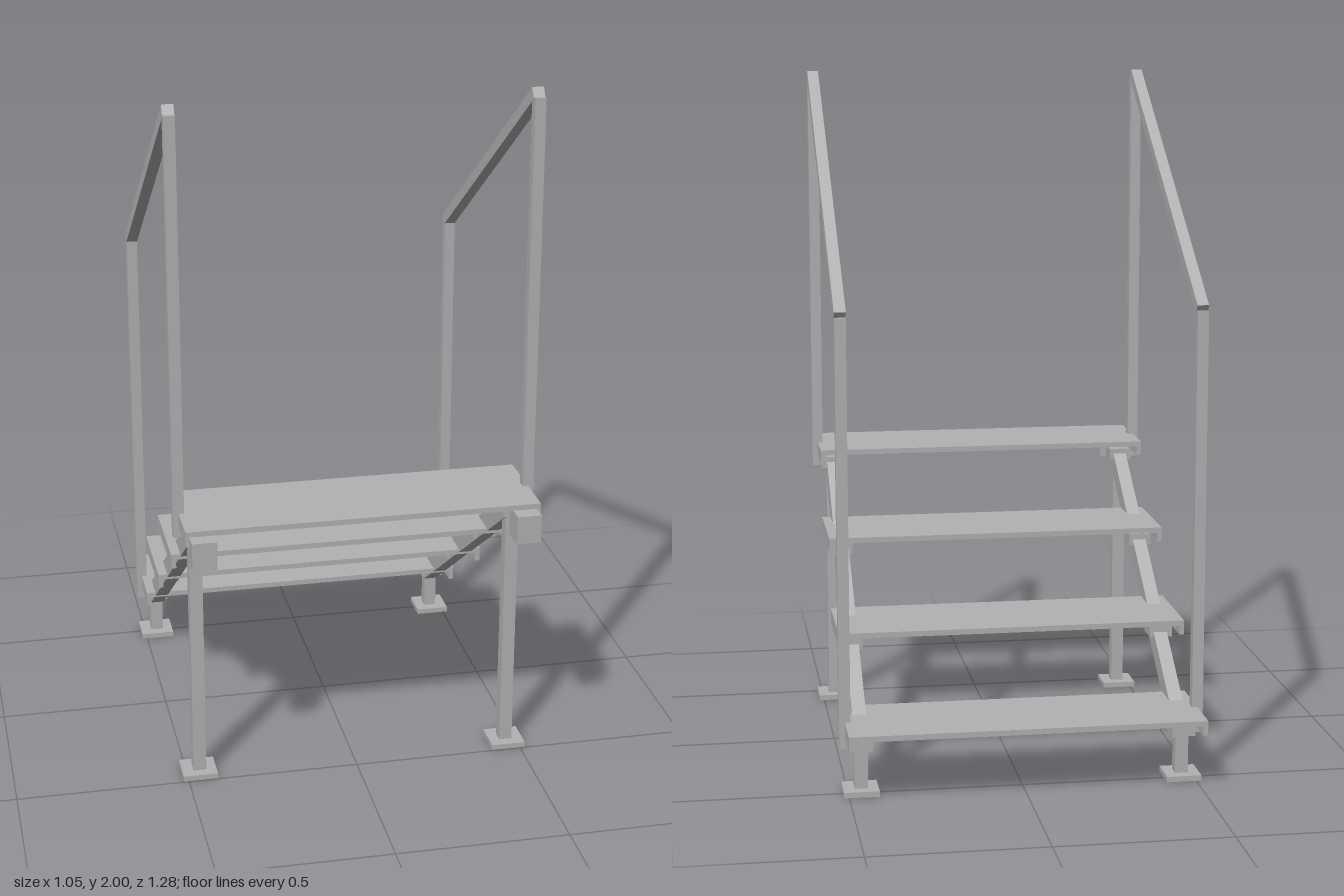
import * as THREE from 'three';

export function createModel() {
  const model = new THREE.Group();
  model.name = 'stairs';
  const steel = new THREE.MeshStandardMaterial({ color: 0xb2b2b2 });
  steel.name = 'grey steel';

  // Box given by its min/max extents on each axis
  const block = (name, [x0, x1], [y0, y1], [z0, z1], parent = model) => {
    const mesh = new THREE.Mesh(new THREE.BoxGeometry(x1 - x0, y1 - y0, z1 - z0), steel);
    mesh.position.set((x0 + x1) / 2, (y0 + y1) / 2, (z0 + z1) / 2);
    mesh.name = name;
    parent.add(mesh);
    return mesh;
  };

  // Sloping bar between two [y, z] points
  const bar = (name, x, width, height, [ya, za], [yb, zb]) => {
    const length = Math.hypot(yb - ya, zb - za);
    const mesh = new THREE.Mesh(new THREE.BoxGeometry(width, height, length), steel);
    mesh.position.set(x, (ya + yb) / 2, (za + zb) / 2);
    mesh.rotation.x = -Math.atan2(yb - ya, zb - za);
    mesh.name = name;
    model.add(mesh);
  };

  // Treads: thin plates with turned-down ends
  const treads = [];
  for (let i = 0; i < 4; i++) {
    const top = 0.21 + i * 0.2085;
    const z = -0.493 + i * 0.3135;
    const tread = new THREE.Group();
    tread.name = 'tread' + (i + 1);
    model.add(tread);
    block('treadPlate', [-0.508, 0.508], [top - 0.016, top], [z - 0.148, z + 0.148], tread);
    treads.push({ tread, top, z });
  }

  for (const s of [-1, 1]) {
    const span = (a, b) => (s > 0 ? [a, b] : [-b, -a]);

    for (const { tread, top, z } of treads) {
      block('treadEndFlange', span(0.494, 0.508), [top - 0.043, top - 0.016], [z - 0.148, z + 0.148], tread);
      block('treadBracket', span(0.43, 0.497), [top - 0.078, top - 0.043], [z - 0.04, z + 0.04], tread);
    }

    // Legs with base plates
    for (const [z, top] of [[0.447, 0.77], [-0.492, 0.14]]) {
      block('leg', span(0.444, 0.482), [0.015, top], [z - 0.019, z + 0.019]);
      block('basePlate', span(0.414, 0.515), [0, 0.016], [z - 0.05, z + 0.05]);
    }

    // Sloping stringer
    bar('stringer', s * 0.461, 0.04, 0.06, [0.14, -0.487], [0.767, 0.447]);

    // Handrail with its two posts
    block('tallPost', span(0.492, 0.524), [0.763, 1.975], [0.434, 0.464]);
    block('shortPost', span(0.492, 0.524), [0.135, 1.358], [-0.508, -0.478]);
    bar('handrail', s * 0.508, 0.033, 0.034, [1.36, -0.495], [1.985, 0.442]);

    // Stop block below the top tread's outer edge
    block('stopBlock', span(0.427, 0.497), [0.737, 0.82], [0.563, 0.643]);
  }
  return model;
}
